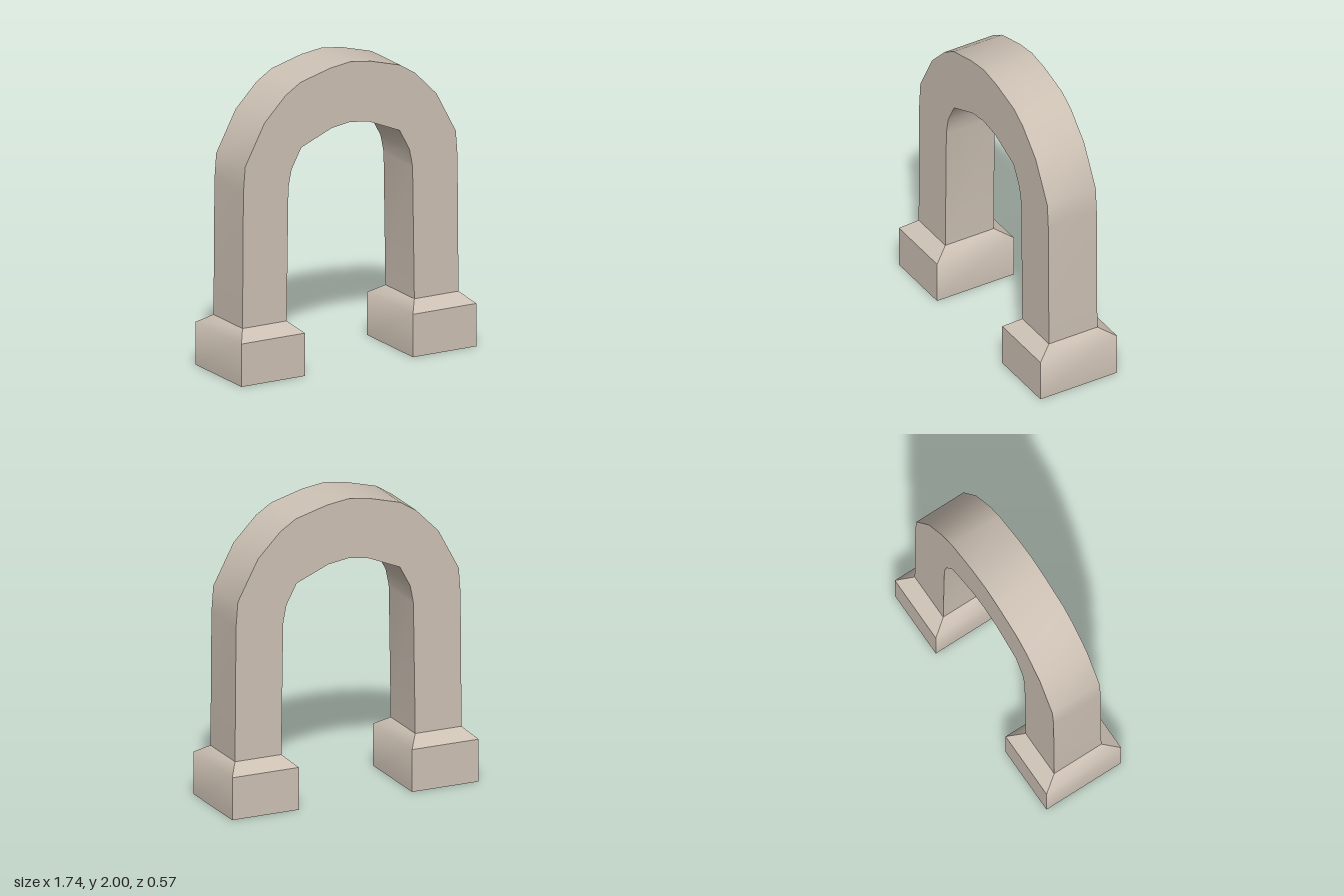
import * as THREE from 'three';
import { toCreasedNormals } from 'three/addons/utils/BufferGeometryUtils.js';

// Lofts four-cornered rings; each ring is [innerX, innerY, outerX, outerY, halfDepth].
function loft(rings, capStart) {
  const positions = [];
  const index = [];
  for (const [ix, iy, ox, oy, d] of rings) {
    positions.push(ox, oy, d, ox, oy, -d, ix, iy, -d, ix, iy, d);
  }
  for (let r = 0; r < rings.length - 1; r++) {
    for (let k = 0; k < 4; k++) {
      const a = r * 4 + k;
      const b = r * 4 + (k + 1) % 4;
      index.push(a, b, b + 4, a, b + 4, a + 4);
    }
  }
  if (capStart) index.push(0, 2, 1, 0, 3, 2);
  const geometry = new THREE.BufferGeometry();
  geometry.setAttribute('position', new THREE.Float32BufferAttribute(positions, 3));
  geometry.setIndex(index);
  return toCreasedNormals(geometry, 0.87);
}

export function createModel() {
  const model = new THREE.Group();
  model.name = 'archway';
  const stone = new THREE.MeshStandardMaterial({ color: 0xcdc1b4 });
  stone.name = 'stone';

  // Arch: half the span from the foot up to the crown, then mirrored
  const d = 0.18;
  const half = [
    [0.473, 0.35, 0.8, 0.35, d],
    [0.46, 1.23, 0.793, 1.25, d],
    [0.455, 1.26, 0.78, 1.42, d],
    [0.437, 1.35, 0.637, 1.69, d],
    [0.365, 1.485, 0.48, 1.85, d],
    [0.355, 1.49, 0.37, 1.92, d],
    [0.14, 1.58, 0.15, 1.98, d],
  ];
  const mirrored = half.map(([ix, iy, ox, oy, z]) => [-ix, iy, -ox, oy, z]).reverse();
  const arch = new THREE.Mesh(loft([...half, [0, 1.6, 0, 2, d], ...mirrored], false), stone);
  arch.name = 'arch';
  model.add(arch);

  // Feet: square blocks that taper in to the legs
  const footGeometry = loft([
    [0.4, 0, 0.87, 0, 0.285],
    [0.4, 0.285, 0.87, 0.285, 0.285],
    [0.473, 0.35, 0.8, 0.35, d],
  ], true);
  for (const [name, turn] of [['leftFoot', 0], ['rightFoot', Math.PI]]) {
    const foot = new THREE.Mesh(footGeometry, stone);
    foot.name = name;
    foot.rotation.y = turn;
    model.add(foot);
  }
  return model;
}
